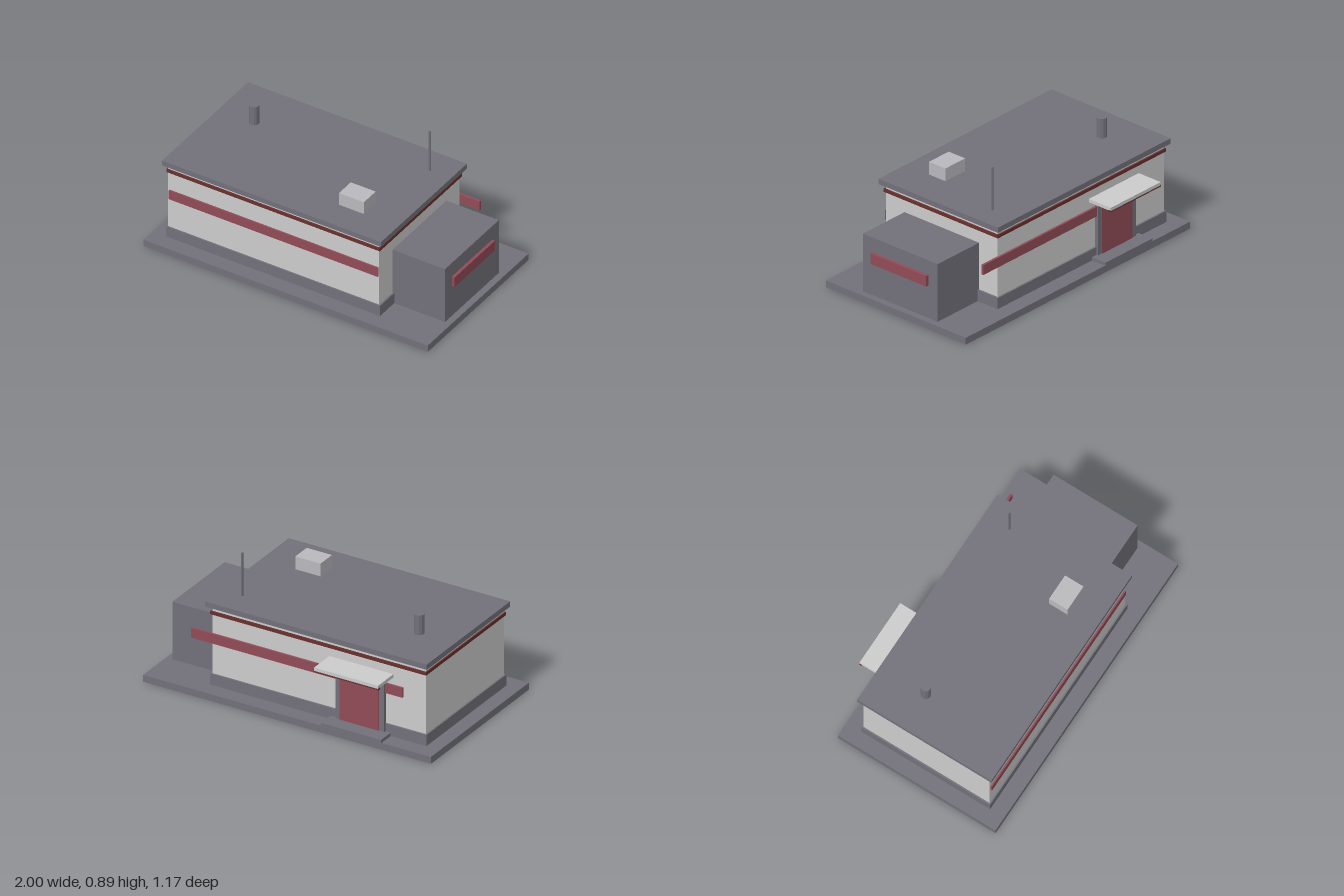
import * as THREE from 'three';

const mat = (color) => new THREE.MeshStandardMaterial({ color, flatShading: true });

export function createModel() {
  const model = new THREE.Group();
  model.name = 'building';
  const light = mat(0xcccccc);
  const vent = mat(0xb9b9bd);
  const dark = mat(0x72717a);
  const red = mat(0x914b57);
  const trim = mat(0x68302f);

  // Box given by its extents along each axis
  function box(name, material, [x0, x1], [y0, y1], [z0, z1]) {
    const mesh = new THREE.Mesh(new THREE.BoxGeometry(x1 - x0, y1 - y0, z1 - z0), material);
    mesh.position.set((x0 + x1) / 2, (y0 + y1) / 2, (z0 + z1) / 2);
    mesh.name = name;
    model.add(mesh);
  }

  // Upright cylinder from y0 to y1
  function post(name, material, radius, sides, x, z, y0, y1) {
    const mesh = new THREE.Mesh(new THREE.CylinderGeometry(radius, radius, y1 - y0, sides), material);
    mesh.position.set(x, (y0 + y1) / 2, z);
    mesh.name = name;
    model.add(mesh);
  }

  // Main block
  box('groundSlab', dark, [-1, 1], [0, 0.046], [-0.525, 0.585]);
  box('plinth', dark, [-0.905, 0.6], [0.046, 0.12], [-0.422, 0.485]);
  box('walls', light, [-0.895, 0.588], [0.12, 0.563], [-0.411, 0.476]);
  box('corniceBand', trim, [-0.903, 0.598], [0.517, 0.538], [-0.421, 0.485]);
  box('roof', dark, [-0.92, 0.62], [0.57, 0.605], [-0.442, 0.505]);

  // Long window strips
  box('frontWindowStrip', red, [-0.885, 0.585], [0.326, 0.39], [0.474, 0.486]);
  box('backWindowStrip', red, [-0.74, 0.73], [0.326, 0.39], [-0.425, -0.409]);

  // Side annex
  box('annex', dark, [0.585, 0.957], [0.046, 0.431], [-0.264, 0.328]);
  box('annexWindow', red, [0.955, 0.977], [0.263, 0.333], [-0.19, 0.253]);

  // Back entrance
  box('doorStep', dark, [-0.657, -0.24], [0.046, 0.068], [-0.53, -0.41]);
  box('doorFrame', dark, [-0.62, -0.28], [0.068, 0.43], [-0.434, -0.41]);
  box('door', red, [-0.583, -0.313], [0.068, 0.387], [-0.438, -0.42]);
  box('canopy', light, [-0.67, -0.225], [0.437, 0.459], [-0.585, -0.41]);
  box('canopyLip', trim, [-0.673, -0.222], [0.428, 0.441], [-0.584, -0.57]);

  // Rooftop equipment
  box('roofVent', vent, [0.205, 0.38], [0.605, 0.69], [0.188, 0.318]);
  post('chimney', dark, 0.032, 12, -0.67, -0.118, 0.605, 0.735);
  post('antenna', dark, 0.007, 6, 0.472, -0.265, 0.605, 0.893);

  return model;
}
